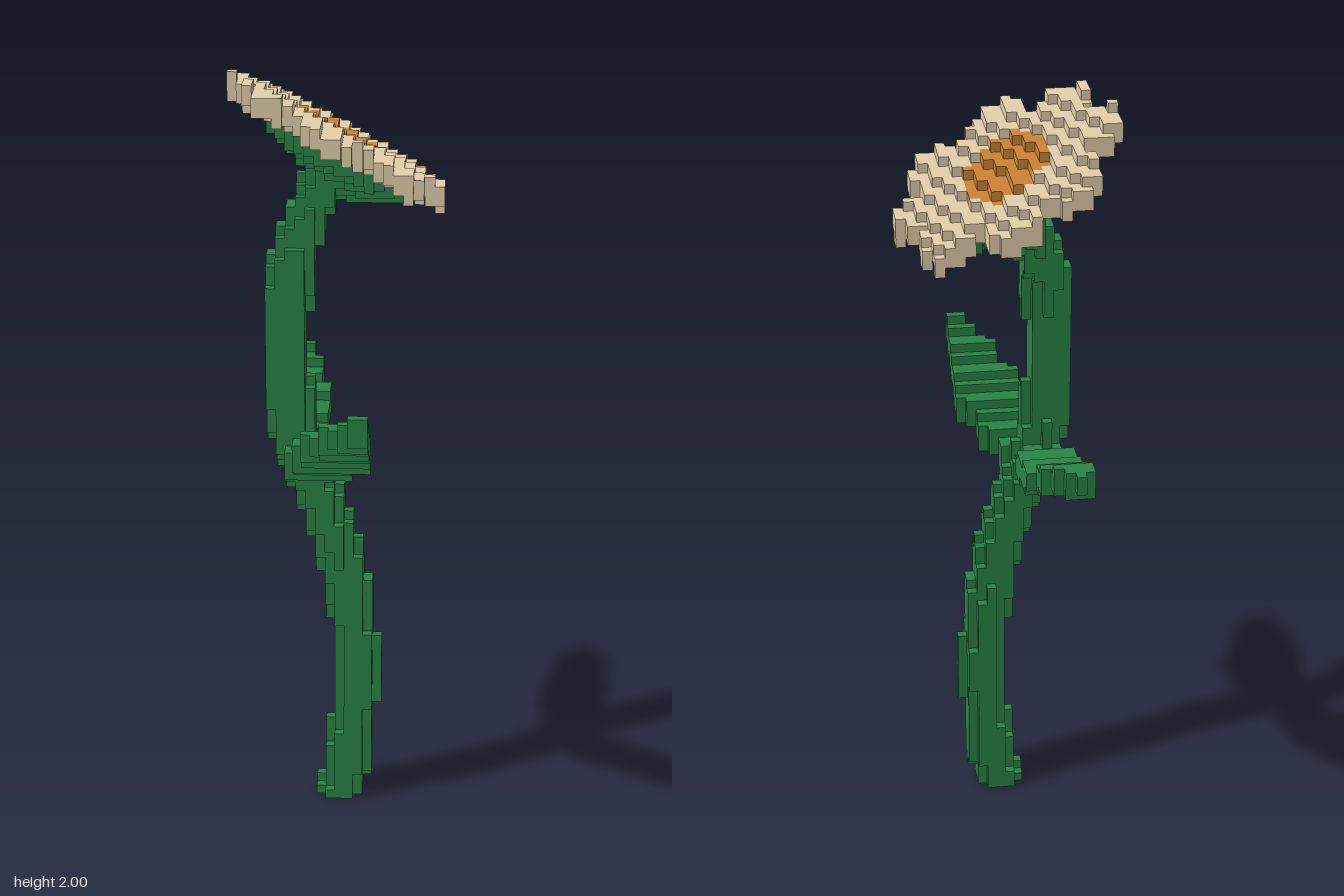
import * as THREE from 'three';

const S = 0.025; // edge of one block

const green = new THREE.MeshStandardMaterial({ color: 0x288445 });
green.name = 'leaf green';
const cream = new THREE.MeshStandardMaterial({ color: 0xe4d0ab });
cream.name = 'petal cream';
const orange = new THREE.MeshStandardMaterial({ color: 0xcd8434 });
orange.name = 'centre orange';

// Linear interpolation through rows of [t, a, b, ...]
function sample(rows, t) {
  if (t <= rows[0][0]) return rows[0].slice(1);
  for (let i = 1; i < rows.length; i++) {
    if (t > rows[i][0]) continue;
    const p = rows[i - 1], q = rows[i], f = (t - p[0]) / (q[0] - p[0]);
    return p.slice(1).map((v, k) => v + (q[k + 1] - v) * f);
  }
  return rows[rows.length - 1].slice(1);
}

// Stem centre line: [y, x, z]
const STEM = [
  [0, 0.012, 0.012], [0.1, 0.037, 0.012], [0.3, 0.055, 0.013], [0.45, 0.056, 0.013],
  [0.6, 0.04, 0.018], [0.75, 0.008, 0.032], [0.9, -0.04, 0.04], [1.0, -0.085, 0.045],
  [1.1, -0.115, 0.047], [1.3, -0.126, 0.05], [1.5, -0.118, 0.045], [1.6, -0.092, 0.023],
  [1.68, -0.055, 0.0], [1.8, 0.0, -0.03],
];

// Leaves along z: [z, left edge x, right edge x, centre y]
const FRONT_LEAF = [
  [0.05, -0.13, -0.02, 0.985], [0.125, -0.125, 0.03, 1.01], [0.2, -0.1, 0.095, 1.06],
  [0.26, -0.07, 0.1, 1.105], [0.325, -0.025, 0.1, 1.15], [0.425, 0.055, 0.1, 1.22],
];
const BACK_LEAF = [
  [-0.425, -0.15, -0.125, 1.147], [-0.36, -0.175, -0.08, 1.135], [-0.3, -0.175, -0.05, 1.105],
  [-0.2, -0.165, -0.025, 1.06], [-0.1, -0.165, -0.03, 1.035], [0.02, -0.15, -0.05, 1.01],
];

// Petal outline in block units: first row is z = -13, each row lists from/to pairs in x
const PETALS = [
  [-2, 2], [-7, -4, -2, 3], [-8, 3], [-8, 3, 4, 8], [-8, 8], [-8, 9], [-7, 9], [-10, 9],
  [-11, 8], [-11, 10], [-11, 10], [-11, 11], [-10, 11], [-8, 11], [-9, 8], [-9, 8], [-9, 9],
  [-9, 9], [-8, -5, -3, 9], [-3, 3, 4, 8], [-3, 2, 5, 8], [-3, 2], [-2, 1],
];

// Tilted flower head with drooping petals and a sunken middle
function headTop(x, z) {
  const r = Math.hypot(x, z + 0.04);
  return 1.872 - 0.53 * x + 0.2 * (z + 0.04) - 0.3 * r * r - 0.03 * Math.max(0, 1 - r / 0.2);
}
const HEAD_THICKNESS = 0.055;

function inPetals(x, z) {
  const row = PETALS[Math.floor(z / S) + 13];
  if (!row) return false;
  const i = Math.floor(x / S);
  for (let k = 0; k < row.length; k += 2) if (i >= row[k] && i < row[k + 1]) return true;
  return false;
}

function inHead(x, y, z) {
  const d = headTop(x, z) - y;
  return d >= 0 && d < HEAD_THICKNESS && inPetals(x, z);
}

function inCentre(x, y, z) {
  return inHead(x, y, z) && headTop(x, z) - y < S && Math.hypot(x / 0.104, (z + 0.05) / 0.128) < 1;
}

function inCalyx(x, y, z) {
  const r = Math.hypot(x, z + 0.04);
  const d = headTop(x, z) - HEAD_THICKNESS - y;
  return r < 0.165 && d >= 0 && d < 0.04 + 0.075 * (1 - r / 0.165);
}

function inStem(x, y, z) {
  if (y > 1.8 || headTop(x, z) - y < HEAD_THICKNESS) return false;
  const [cx, cz] = sample(STEM, y);
  return Math.hypot(x - cx, z - cz) < 0.06;
}

function leafTest(rows, halfThickness) {
  const z0 = rows[0][0], z1 = rows[rows.length - 1][0];
  return (x, y, z) => {
    if (z < z0 || z > z1) return false;
    const [a, b, cy] = sample(rows, z);
    return x > a && x < b && Math.abs(y - cy) < halfThickness;
  };
}

// Earlier parts take precedence where they overlap
const PARTS = [
  ['flowerCentre', orange, inCentre],
  ['petals', cream, inHead],
  ['stem', green, inStem],
  ['calyx', green, inCalyx],
  ['frontLeaf', green, leafTest(FRONT_LEAF, 0.036)],
  ['backLeaf', green, leafTest(BACK_LEAF, 0.031)],
];

export function createModel() {
  const group = new THREE.Group();
  group.name = 'blockFlower';

  // Assign every block to a part
  const cells = new Map();
  const key = (i, j, k) => `${i},${j},${k}`;
  for (let i = -11; i < 11; i++) for (let j = 0; j < 80; j++) for (let k = -17; k < 17; k++) {
    const p = PARTS.findIndex((part) => part[2]((i + 0.5) * S, (j + 0.5) * S, (k + 0.5) * S));
    if (p >= 0) cells.set(key(i, j, k), { p, c: [i, j, k] });
  }

  // Emit only the exposed block faces of each part
  const data = PARTS.map(() => ({ pos: [], nor: [] }));
  for (const { p, c } of cells.values()) {
    for (let axis = 0; axis < 3; axis++) for (const side of [-1, 1]) {
      const n = [0, 0, 0];
      n[axis] = side;
      if (cells.has(key(c[0] + n[0], c[1] + n[1], c[2] + n[2]))) continue;
      const u = (axis + 1) % 3, v = (axis + 2) % 3;
      const loop = [[0, 0], [1, 0], [1, 1], [0, 1]];
      if (side < 0) loop.reverse();
      for (const q of [0, 1, 2, 0, 2, 3]) {
        const pt = c.slice();
        pt[axis] += side > 0 ? 1 : 0;
        pt[u] += loop[q][0];
        pt[v] += loop[q][1];
        data[p].pos.push(...pt.map((w) => w * S));
        data[p].nor.push(...n);
      }
    }
  }

  PARTS.forEach(([name, material], p) => {
    const geo = new THREE.BufferGeometry();
    geo.setAttribute('position', new THREE.Float32BufferAttribute(data[p].pos, 3));
    geo.setAttribute('normal', new THREE.Float32BufferAttribute(data[p].nor, 3));
    const mesh = new THREE.Mesh(geo, material);
    mesh.name = name;
    group.add(mesh);
  });
  return group;
}
